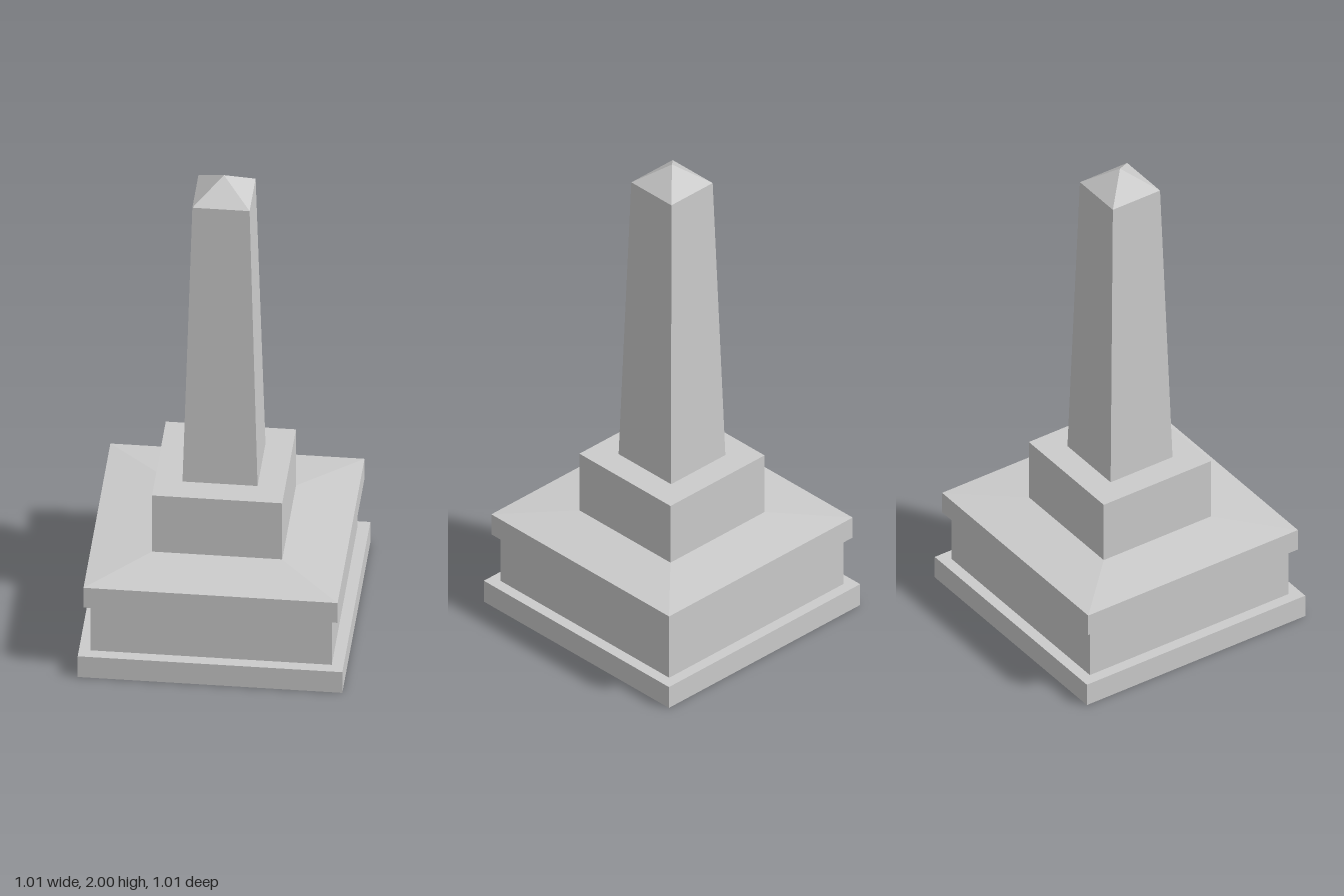
import * as THREE from 'three';

const material = new THREE.MeshStandardMaterial({ color: 0xcccccc, flatShading: true });

// Square tier from y0 to y1, tapering between two half-widths
function tier(name, y0, y1, halfBottom, halfTop = halfBottom) {
  const height = y1 - y0;
  const geometry = halfTop > 0
    ? new THREE.CylinderGeometry(halfTop * Math.SQRT2, halfBottom * Math.SQRT2, height, 4)
    : new THREE.ConeGeometry(halfBottom * Math.SQRT2, height, 4);
  geometry.rotateY(Math.PI / 4);
  geometry.translate(0, y0 + height / 2, 0);
  const mesh = new THREE.Mesh(geometry, material);
  mesh.name = name;
  return mesh;
}

export function createModel() {
  const group = new THREE.Group();
  group.name = 'obelisk';
  group.add(
    // Stepped pedestal
    tier('plinth', 0, 0.095, 0.504),
    tier('pedestalBody', 0.095, 0.307, 0.459),
    tier('cornice', 0.307, 0.398, 0.484),
    tier('slopedCorniceTop', 0.398, 0.42, 0.484, 0.248),
    tier('shaftBase', 0.42, 0.678, 0.248),
    // Tapered shaft with pyramid tip
    tier('shaft', 0.678, 1.917, 0.143, 0.109),
    tier('pyramidTip', 1.917, 2, 0.109, 0),
  );
  return group;
}
